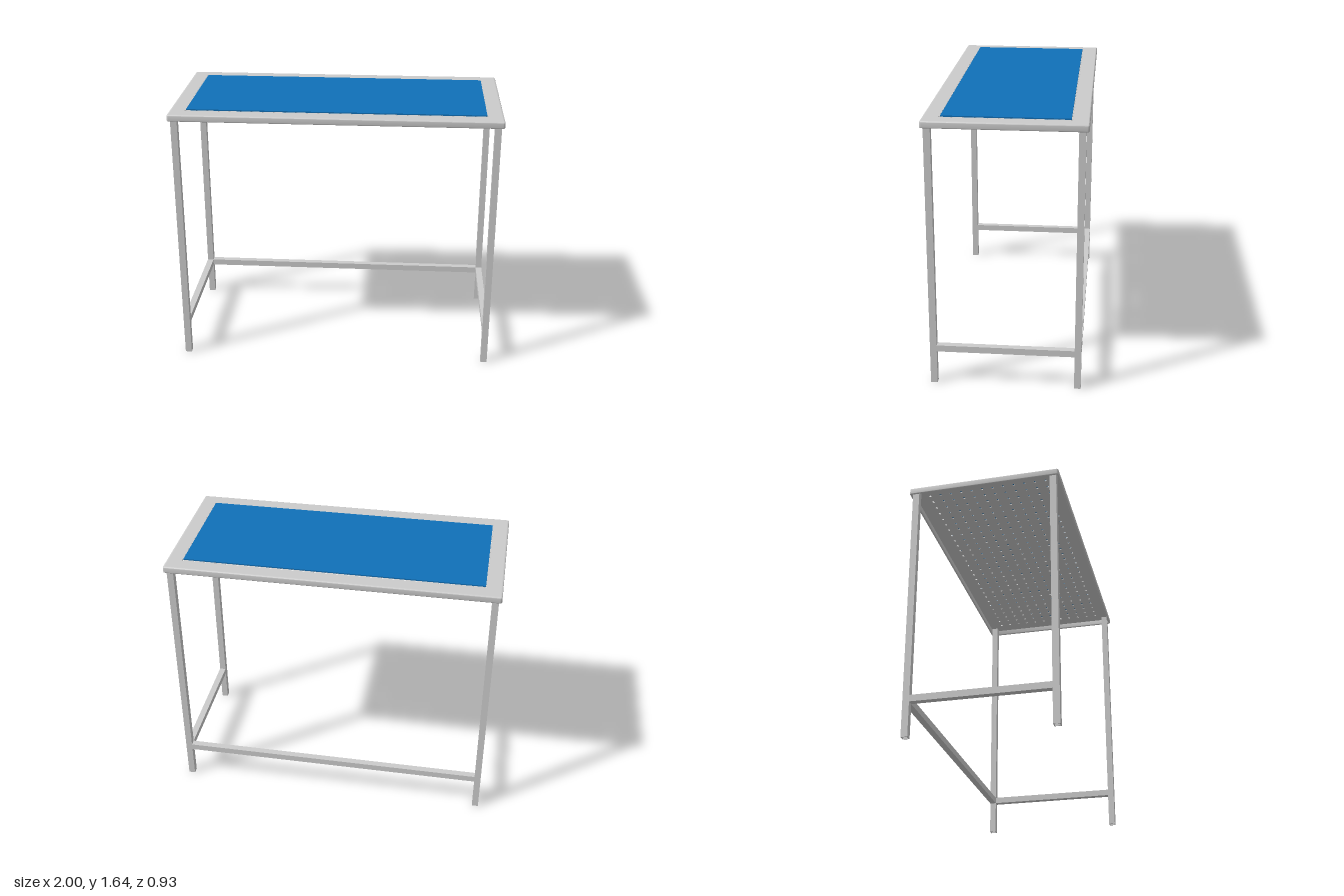
import * as THREE from 'three';
import { toCreasedNormals } from 'three/addons/utils/BufferGeometryUtils.js';

const HX = 1, HZ = 0.467;            // half size of the table top
const TOP = 1.635, BOTTOM = 1.594;   // top sheet and lower edge of the rim
const FOLD = 0.012, SHEET = 0.006;   // rim depth and sheet thickness
const LEG = 0.04, LEG_X = 0.963, LEG_Z = 0.43;

const grey = new THREE.MeshStandardMaterial({ color: 0xcccccc });
const blue = new THREE.MeshStandardMaterial({ color: 0x1070b8 });

function add(parent, name, geometry, material, x = 0, y = 0, z = 0) {
  const mesh = new THREE.Mesh(geometry, material);
  mesh.name = name;
  mesh.position.set(x, y, z);
  parent.add(mesh);
  return mesh;
}

function rectangle(target, hx, hz) {
  target.moveTo(-hx, -hz);
  target.lineTo(hx, -hz);
  target.lineTo(hx, hz);
  target.lineTo(-hx, hz);
  target.closePath();
  return target;
}

// Flat sheet with a grid of small round holes
function perforatedSheet() {
  const shape = rectangle(new THREE.Shape(), HX - FOLD, HZ - FOLD);
  const columns = 28, rows = 12, pitch = 0.0667;
  for (let i = 0; i < columns; i++) {
    for (let j = 0; j < rows; j++) {
      const x = (i - (columns - 1) / 2) * pitch;
      const z = (j - (rows - 1) / 2) * pitch;
      const hole = new THREE.Path();
      hole.absarc(x, z, 0.008, 0, Math.PI * 2, true);
      shape.holes.push(hole);
    }
  }
  const geometry = new THREE.ExtrudeGeometry(shape, { depth: SHEET, bevelEnabled: false, curveSegments: 10 });
  return geometry.rotateX(-Math.PI / 2);
}

// Folded rim: a rounded profile carried around the rectangle
function foldedRim() {
  const profile = [[FOLD, TOP]];
  const r = 0.008, steps = 4;
  for (let i = 0; i <= steps; i++) {
    const a = (i / steps) * Math.PI / 2;
    profile.push([r - r * Math.sin(a), TOP - r + r * Math.cos(a)]);
  }
  for (let i = 0; i <= 2 * steps; i++) {
    const a = (i / (2 * steps)) * Math.PI, h = FOLD / 2;
    profile.push([h - h * Math.cos(a), BOTTOM + h - h * Math.sin(a)]);
  }
  profile.push([FOLD, TOP - SHEET]);

  const positions = [], index = [], arc = 4;
  const count = 4 * (arc + 1);
  for (const [inset, y] of profile) {
    const radius = Math.max(FOLD - inset, 0.0005);
    for (let c = 0; c < 4; c++) {
      const sx = c === 0 || c === 3 ? 1 : -1;
      const sz = c < 2 ? 1 : -1;
      for (let k = 0; k <= arc; k++) {
        const a = (c + k / arc) * Math.PI / 2;
        positions.push(
          sx * (HX - inset - radius) + radius * Math.cos(a), y,
          sz * (HZ - inset - radius) + radius * Math.sin(a));
      }
    }
  }
  for (let p = 0; p < profile.length - 1; p++) {
    for (let k = 0; k < count; k++) {
      const n = (k + 1) % count;
      const a = p * count + k, b = p * count + n;
      index.push(a, b, a + count, b, b + count, a + count);
    }
  }
  const geometry = new THREE.BufferGeometry();
  geometry.setAttribute('position', new THREE.Float32BufferAttribute(positions, 3));
  geometry.setIndex(index);
  return toCreasedNormals(geometry, 0.7);
}

// Square tube, open at the foot
function legTube(height) {
  const shape = rectangle(new THREE.Shape(), LEG / 2, LEG / 2);
  shape.holes.push(rectangle(new THREE.Path(), LEG / 2 - 0.004, LEG / 2 - 0.004));
  const geometry = new THREE.ExtrudeGeometry(shape, { depth: height, bevelEnabled: false });
  return geometry.rotateX(-Math.PI / 2);
}

export function createModel() {
  const model = new THREE.Group();
  model.name = 'workTable';

  // Table top
  const top = new THREE.Group();
  top.name = 'tableTop';
  model.add(top);
  add(top, 'perforatedSheet', perforatedSheet(), grey, 0, TOP - SHEET, 0);
  const rimMaterial = grey.clone();
  rimMaterial.side = THREE.DoubleSide;
  add(top, 'foldedRim', foldedRim(), rimMaterial);
  add(top, 'mat', new THREE.BoxGeometry(1.8, 0.007, 0.73), blue, 0, TOP + 0.0035, 0);

  // Legs and side rails
  const legGeometry = legTube(TOP - SHEET);
  const railY = 0.23;
  const sideRail = new THREE.BoxGeometry(LEG, LEG, 2 * LEG_Z - LEG);
  for (const [side, sx] of [['left', 1], ['right', -1]]) {
    add(model, side + 'FrontLeg', legGeometry, grey, sx * LEG_X, 0, LEG_Z);
    add(model, side + 'BackLeg', legGeometry, grey, sx * LEG_X, 0, -LEG_Z);
    add(model, side + 'Rail', sideRail, grey, sx * LEG_X, railY, 0);
  }

  // Back rail
  add(model, 'backRail', new THREE.BoxGeometry(2 * LEG_X - LEG, LEG, LEG), grey, 0, railY, -LEG_Z);

  return model;
}
